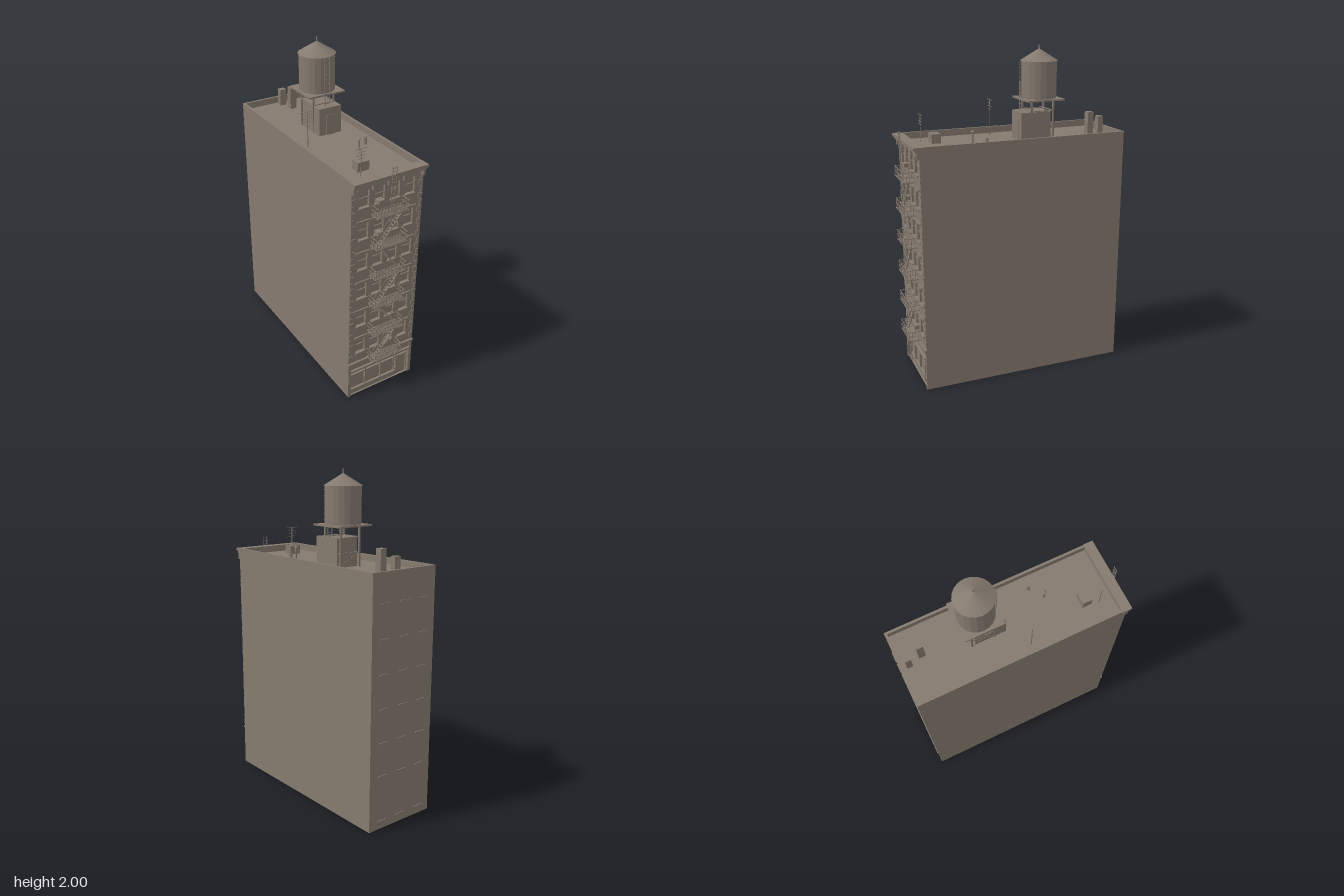
import * as THREE from 'three';

const masonry = new THREE.MeshStandardMaterial({ color: 0x857a6f, side: THREE.DoubleSide, flatShading: true });
masonry.name = 'warm grey masonry';

function add(parent, name, geo, x = 0, y = 0, z = 0) {
  const m = new THREE.Mesh(geo, masonry);
  m.name = name;
  m.position.set(x, y, z);
  parent.add(m);
  return m;
}
// box given by its limits
function box(parent, name, x0, x1, y0, y1, z0, z1) {
  return add(parent, name, new THREE.BoxGeometry(x1 - x0, y1 - y0, z1 - z0),
    (x0 + x1) / 2, (y0 + y1) / 2, (z0 + z1) / 2);
}
// thin square bar between two points
function bar(parent, name, a, b, t = 0.004) {
  const p = new THREE.Vector3(...a), q = new THREE.Vector3(...b);
  const m = add(parent, name, new THREE.BoxGeometry(t, t, p.distanceTo(q)));
  m.position.copy(p).add(q).multiplyScalar(0.5);
  m.lookAt(q);
  return m;
}
function group(parent, name) {
  const g = new THREE.Group();
  g.name = name;
  parent.add(g);
  return g;
}
function rect(Type, x0, x1, y0, y1) {
  const s = new Type();
  s.moveTo(x0, y0); s.lineTo(x1, y0); s.lineTo(x1, y1); s.lineTo(x0, y1); s.closePath();
  return s;
}
function ladder(parent, name, x0, x1, y0, y1, z, step = 0.022) {
  const g = group(parent, name);
  for (const x of [x0, x1]) bar(g, 'ladderRail', [x, y0, z], [x, y1, z], 0.003);
  for (let y = y0 + step / 2; y < y1; y += step) bar(g, 'ladderRung', [x0, y, z], [x1, y, z], 0.0025);
}

const W = 0.235, FRONT = 0.605, BACK = -0.67, ROOF = 1.445, TOP = 1.485;
const columns = [-0.152, -0.052, 0.048, 0.148];
const sills = [0.325, 0.523, 0.721, 0.919, 1.117, 1.315];

function buildShell(root) {
  const g = group(root, 'buildingShell');
  const D = FRONT - BACK, mid = (FRONT + BACK) / 2;
  for (const s of [-1, 1])
    add(g, 'sideWall', new THREE.PlaneGeometry(D, ROOF), s * W, ROOF / 2, mid).rotation.y = s * Math.PI / 2;
  add(g, 'backWall', new THREE.PlaneGeometry(2 * W, ROOF), 0, ROOF / 2, BACK).rotation.y = Math.PI;
  add(g, 'roofDeck', new THREE.PlaneGeometry(2 * W, D), 0, ROOF, mid).rotation.x = -Math.PI / 2;
  const ring = rect(THREE.Shape, -W, W, -FRONT, -BACK);
  ring.holes.push(rect(THREE.Path, -0.22, 0.22, -0.585, 0.655));
  add(g, 'parapet', new THREE.ExtrudeGeometry(ring, { depth: TOP - ROOF, bevelEnabled: false }), 0, ROOF, 0)
    .rotation.x = -Math.PI / 2;
  // small ledges on the rear wall
  for (const y of [0.05, ...sills])
    for (const x of [-0.146, -0.002, 0.143])
      box(g, 'rearSill', x - 0.032, x + 0.032, y - 0.004, y + 0.003, BACK - 0.005, BACK);
}

function buildFacade(root) {
  const g = group(root, 'facade');
  const wall = rect(THREE.Shape, -W, W, 0, ROOF);
  wall.holes.push(rect(THREE.Path, -0.215, 0.215, 0.002, 0.19));
  for (const y of sills) for (const x of columns)
    wall.holes.push(rect(THREE.Path, x - 0.032, x + 0.032, y, y + 0.105));
  add(g, 'frontWall', new THREE.ExtrudeGeometry(wall, { depth: 0.015, bevelEnabled: false }), 0, 0, FRONT - 0.015);
  for (const y of sills) for (const x of columns) {
    add(g, 'windowPane', new THREE.PlaneGeometry(0.064, 0.105), x, y + 0.0525, FRONT - 0.013);
    box(g, 'windowRail', x - 0.032, x + 0.032, y + 0.05, y + 0.056, FRONT - 0.013, FRONT - 0.007);
    box(g, 'windowSill', x - 0.036, x + 0.036, y - 0.008, y, FRONT, FRONT + 0.008);
    box(g, 'windowLintel', x - 0.046, x + 0.046, y + 0.105, y + 0.12, FRONT, FRONT + 0.008);
  }
  // alternating corner stones
  for (let i = 0; i < 28; i++) {
    const w = i % 2 ? 0.016 : 0.028, y = 0.28 + i * 0.041;
    for (const s of [-1, 1])
      add(g, 'cornerStone', new THREE.BoxGeometry(w, 0.035, 0.005), s * (W - w / 2), y + 0.0175, FRONT + 0.0025);
  }
  // stepped cornice with brackets
  box(g, 'corniceCap', -0.238, 0.238, 1.468, TOP, FRONT - 0.02, 0.645);
  box(g, 'corniceStep', -0.236, 0.236, 1.452, 1.468, FRONT - 0.01, 0.632);
  box(g, 'corniceFrieze', -W, W, 1.437, 1.452, FRONT - 0.01, 0.618);
  for (const x of [-0.227, -0.102, -0.002, 0.098, 0.227])
    box(g, 'corniceBracket', x - 0.007, x + 0.007, 1.415, 1.46, FRONT, 0.626);
  // window air conditioners
  for (const [x, y] of [[-0.052, 1.315], [-0.052, 1.117], [0.048, 0.325]])
    box(g, 'airConditioner', x - 0.019, x + 0.019, y, y + 0.024, FRONT - 0.015, 0.63);
}

function buildStorefront(root) {
  const g = group(root, 'storefront');
  box(g, 'shopCornice', -0.238, 0.238, 0.248, 0.26, FRONT, 0.618);
  box(g, 'shopFascia', -0.218, 0.218, 0.192, 0.203, FRONT, 0.619);
  for (const s of [-1, 1])
    add(g, 'shopPier', new THREE.BoxGeometry(0.02, 0.248, 0.006), s * 0.225, 0.124, FRONT + 0.003);
  add(g, 'shopGlass', new THREE.PlaneGeometry(0.43, 0.19), 0, 0.095, 0.582);
  box(g, 'shopBase', -0.215, 0.128, 0.002, 0.035, 0.582, 0.596);
  box(g, 'shopTransom', -0.215, 0.215, 0.14, 0.148, 0.582, 0.594);
  for (const x of [-0.212, -0.1, 0.015, 0.13, 0.212])
    box(g, 'shopMullion', x - 0.003, x + 0.003, 0.002, 0.19, 0.582, 0.594);
  box(g, 'shopDoor', 0.137, 0.206, 0.002, 0.136, 0.582, 0.588);
}

function buildFireEscape(root) {
  const g = group(root, 'fireEscape');
  const zf = 0.671, x0 = -0.103, x1 = 0.1;
  const levels = sills.map(y => y - 0.056);
  levels.forEach((y, i) => {
    // slatted landing with railing on three sides
    for (let k = 0; k < 9; k++) {
      const z = FRONT + 0.003 + k * 0.008;
      bar(g, 'landingSlat', [x0, y, z], [x1, y, z], 0.004);
    }
    for (const x of [x0, 0, x1]) bar(g, 'landingBeam', [x, y - 0.003, FRONT], [x, y - 0.003, zf]);
    for (const h of [0.03, 0.058]) {
      bar(g, 'frontRail', [x0, y + h, zf], [x1, y + h, zf], 0.003);
      for (const x of [x0, x1]) bar(g, 'sideRail', [x, y + h, FRONT], [x, y + h, zf], 0.003);
    }
    for (let k = 0; k <= 10; k++) {
      const x = x0 + (x1 - x0) * k / 10;
      bar(g, 'railPost', [x, y, zf], [x, y + 0.058, zf], 0.002);
    }
    for (const x of [x0, x1]) for (let k = 1; k < 4; k++) {
      const z = FRONT + 0.0165 * k;
      bar(g, 'railPost', [x, y, z], [x, y + 0.058, z], 0.002);
    }
    // zigzag stair to the next landing
    if (i < levels.length - 1) {
      const s = i % 2 ? -1 : 1, up = levels[i + 1];
      for (const z of [0.633, 0.655]) {
        bar(g, 'stairStringer', [-0.082 * s, y, z], [0.078 * s, up, z], 0.005);
        bar(g, 'stairHandrail', [-0.082 * s, y + 0.045, z], [0.045 * s, up + 0.004, z], 0.0025);
      }
      for (let k = 1; k < 12; k++) {
        const x = s * (-0.082 + 0.16 * k / 12), sy = y + (up - y) * k / 12;
        box(g, 'stairTread', x - 0.005, x + 0.005, sy - 0.001, sy + 0.001, 0.633, 0.655);
      }
    }
  });
  ladder(g, 'dropLadder', 0.057, 0.083, 0.125, levels[0], 0.66);
  ladder(g, 'roofLadder', -0.014, 0.012, levels[5], 1.54, 0.66);
}

function buildWaterTower(root) {
  const g = group(root, 'waterTower');
  const cx = 0.035, cz = -0.19;
  box(g, 'roofBulkhead', -0.035, 0.115, ROOF, 1.615, -0.235, -0.047);
  box(g, 'bulkheadDoor', 0.01, 0.07, ROOF, 1.57, -0.047, -0.043);
  // legs, beams and diagonal braces
  const corners = [[-0.035, -0.115], [0.105, -0.115], [0.105, -0.255], [-0.035, -0.255]];
  corners.forEach(([x, z], i) => {
    const [nx, nz] = corners[(i + 1) % 4];
    bar(g, 'towerLeg', [x, ROOF, z], [x, 1.68, z], 0.01);
    for (const y of [1.53, 1.617]) bar(g, 'towerBeam', [x, y, z], [nx, y, nz], 0.006);
    bar(g, 'towerBrace', [x, 1.46, z], [nx, 1.53, nz], 0.003);
    bar(g, 'towerBrace', [nx, 1.46, nz], [x, 1.53, z], 0.003);
  });
  box(g, 'tankPlatform', -0.085, 0.157, 1.68, 1.69, -0.308, -0.07);
  add(g, 'tankBody', new THREE.CylinderGeometry(0.107, 0.107, 0.22, 20), cx, 1.8, cz);
  for (let i = 0; i < 6; i++)
    add(g, 'tankHoop', new THREE.CylinderGeometry(0.1085, 0.1085, 0.004, 20, 1, true), cx, 1.715 + i * 0.034, cz);
  add(g, 'tankRoof', new THREE.ConeGeometry(0.113, 0.07, 20), cx, 1.943, cz);
  add(g, 'tankFinial', new THREE.CylinderGeometry(0.004, 0.005, 0.035, 8), cx, 1.9825, cz);
  ladder(g, 'tankLadder', 0.02, 0.05, 1.615, 1.91, -0.073, 0.03);
}

function antenna(root, x, z, top, half) {
  const g = group(root, 'antenna');
  bar(g, 'antennaMast', [x, ROOF, z], [x, top, z], 0.004);
  [[0.003, 1], [0.024, 0.6], [0.042, 0.85], [0.06, 0.5]].forEach(([d, k]) =>
    bar(g, 'antennaBar', [x - half * k, top - d, z], [x + half * k, top - d, z], 0.0025));
}

function buildRoofDetails(root) {
  const g = group(root, 'roofDetails');
  box(g, 'chimney', 0, 0.043, ROOF, 1.55, -0.632, -0.597);
  box(g, 'chimney', 0.027, 0.07, ROOF, 1.585, -0.55, -0.51);
  box(g, 'roofHatch', -0.1, -0.025, ROOF, 1.5, 0.405, 0.462);
  add(g, 'ventPipe', new THREE.CylinderGeometry(0.005, 0.005, 0.075, 10), 0.056, ROOF + 0.0375, 0.238);
  add(g, 'ventCap', new THREE.ConeGeometry(0.013, 0.012, 12), 0.056, 1.522, 0.238);
  add(g, 'shortVent', new THREE.CylinderGeometry(0.01, 0.01, 0.045, 12), 0.14, ROOF + 0.0225, 0.18);
  antenna(g, -0.168, 0.046, 1.665, 0.044);
  antenna(g, -0.11, 0.505, 1.61, 0.044);
}

export function createModel() {
  const root = new THREE.Group();
  root.name = 'apartmentBuilding';
  buildShell(root);
  buildFacade(root);
  buildStorefront(root);
  buildFireEscape(root);
  buildWaterTower(root);
  buildRoofDetails(root);
  return root;
}
